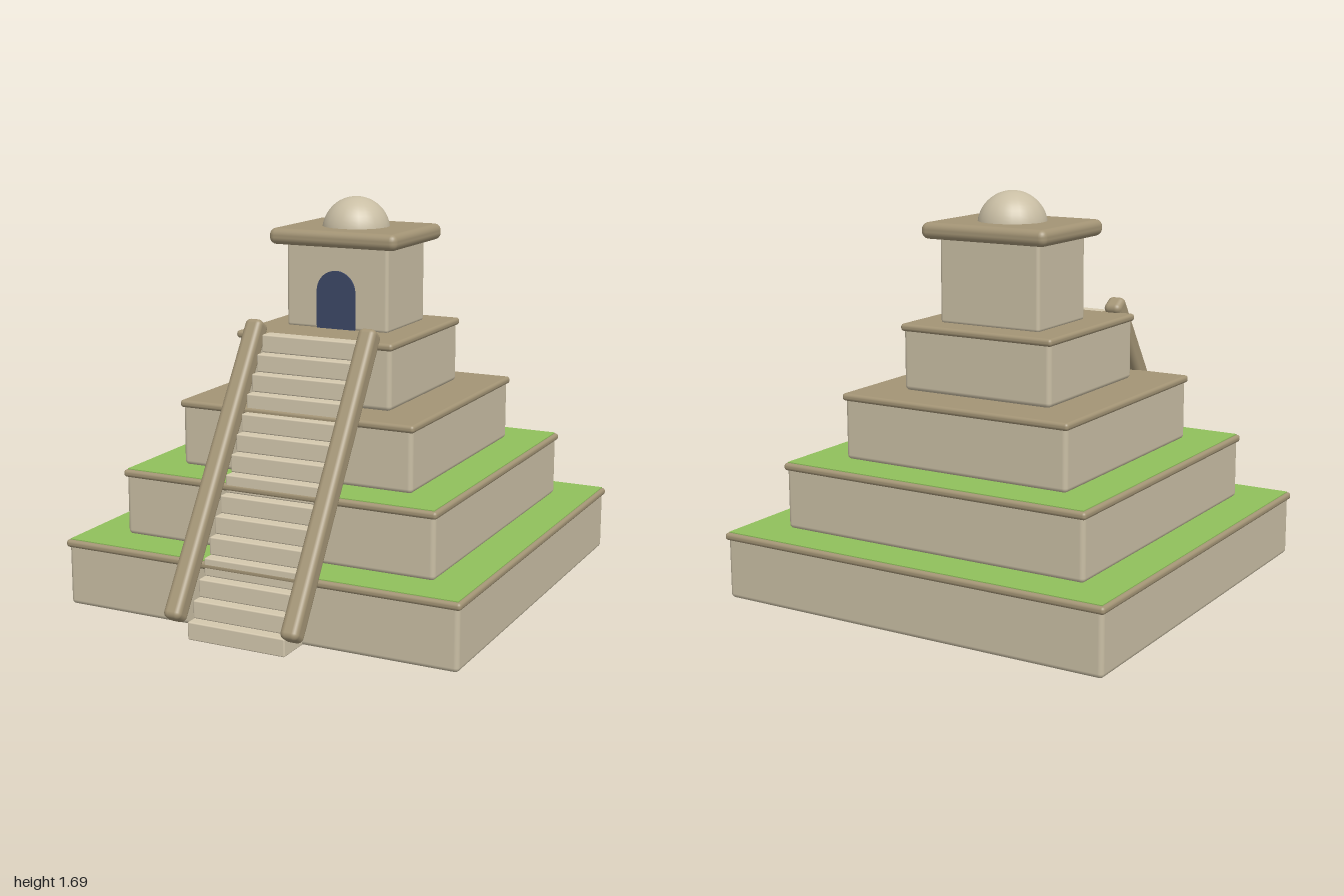
import * as THREE from 'three';
import { RoundedBoxGeometry } from 'three/addons/geometries/RoundedBoxGeometry.js';

const material = (name, color) => {
  const m = new THREE.MeshStandardMaterial({ color });
  m.name = name;
  return m;
};

export function createModel() {
  const group = new THREE.Group();
  const stone = material('stone', 0xc9bea4);
  const paleStone = material('pale stone', 0xd4c8ae);
  const trimStone = material('trim stone', 0xa39475);
  const grass = material('grass', 0x90c05c);
  const dark = material('doorway blue', 0x3c4766);

  const add = (name, geometry, mat, x = 0, y = 0, z = 0) => {
    const mesh = new THREE.Mesh(geometry, mat);
    mesh.name = name;
    mesh.position.set(x, y, z);
    group.add(mesh);
    return mesh;
  };
  // Rounded box placed by the height of its underside
  const block = (name, w, h, d, r, mat, y, z) =>
    add(name, new RoundedBoxGeometry(w, h, d, 3, r), mat, 0, y + h / 2, z);

  // Four stepped tiers, each with a projecting rim; the lower two are grassed
  const tierH = 0.285, centreZ = -0.1;
  [0.9, 0.721, 0.543, 0.365].forEach((half, i) => {
    const y = i * tierH, w = 2 * half;
    block('tier' + (i + 1), w - 0.02, tierH - 0.005, w - 0.02, 0.02, stone, y, centreZ);
    block('tierRim' + (i + 1), w, 0.032, w, 0.014, trimStone, y + tierH - 0.032, centreZ);
    if (i < 2) {
      add('grass' + (i + 1), new THREE.BoxGeometry(w - 0.03, 0.006, w - 0.03), grass,
        0, y + tierH + 0.001, centreZ);
    }
  });

  // Temple, roof slab and dome
  const topY = 4 * tierH, templeZ = -0.155;
  block('temple', 0.48, 0.37, 0.385, 0.015, stone, topY - 0.005, templeZ);
  block('roof', 0.6, 0.07, 0.505, 0.03, trimStone, 1.493, templeZ);
  add('dome', new THREE.SphereGeometry(0.148, 24, 12, 0, Math.PI * 2, 0, Math.PI / 2),
    stone, 0, 1.542, templeZ);

  // Arched doorway plate
  const arch = new THREE.Shape();
  arch.moveTo(-0.09, 0);
  arch.lineTo(0.09, 0);
  arch.lineTo(0.09, 0.16);
  arch.absarc(0, 0.16, 0.09, 0, Math.PI, false);
  arch.lineTo(-0.09, 0);
  add('doorway', new THREE.ExtrudeGeometry(arch, { depth: 0.009, bevelEnabled: false, curveSegments: 16 }),
    dark, 0, topY, 0.0385);

  // Staircase: each step runs back into the pyramid
  const steps = 15, rise = topY / steps, frontZ = 0.935, backZ = 0.255;
  const run = (frontZ - backZ) / steps;
  for (let i = 0; i < steps; i++) {
    const depth = frontZ - i * run - backZ + 0.02;
    block('step' + (i + 1), 0.44, rise, depth, 0.006, paleStone, i * rise, backZ - 0.02 + depth / 2);
  }

  // Sloping side rails
  for (const side of [-1, 1]) {
    const rail = add(side > 0 ? 'leftRail' : 'rightRail',
      new RoundedBoxGeometry(0.08, 0.085, 1.31, 4, 0.025), trimStone, side * 0.264, 0.636, 0.61);
    rail.rotation.x = Math.atan2(1.1, 0.71);
  }
  return group;
}
